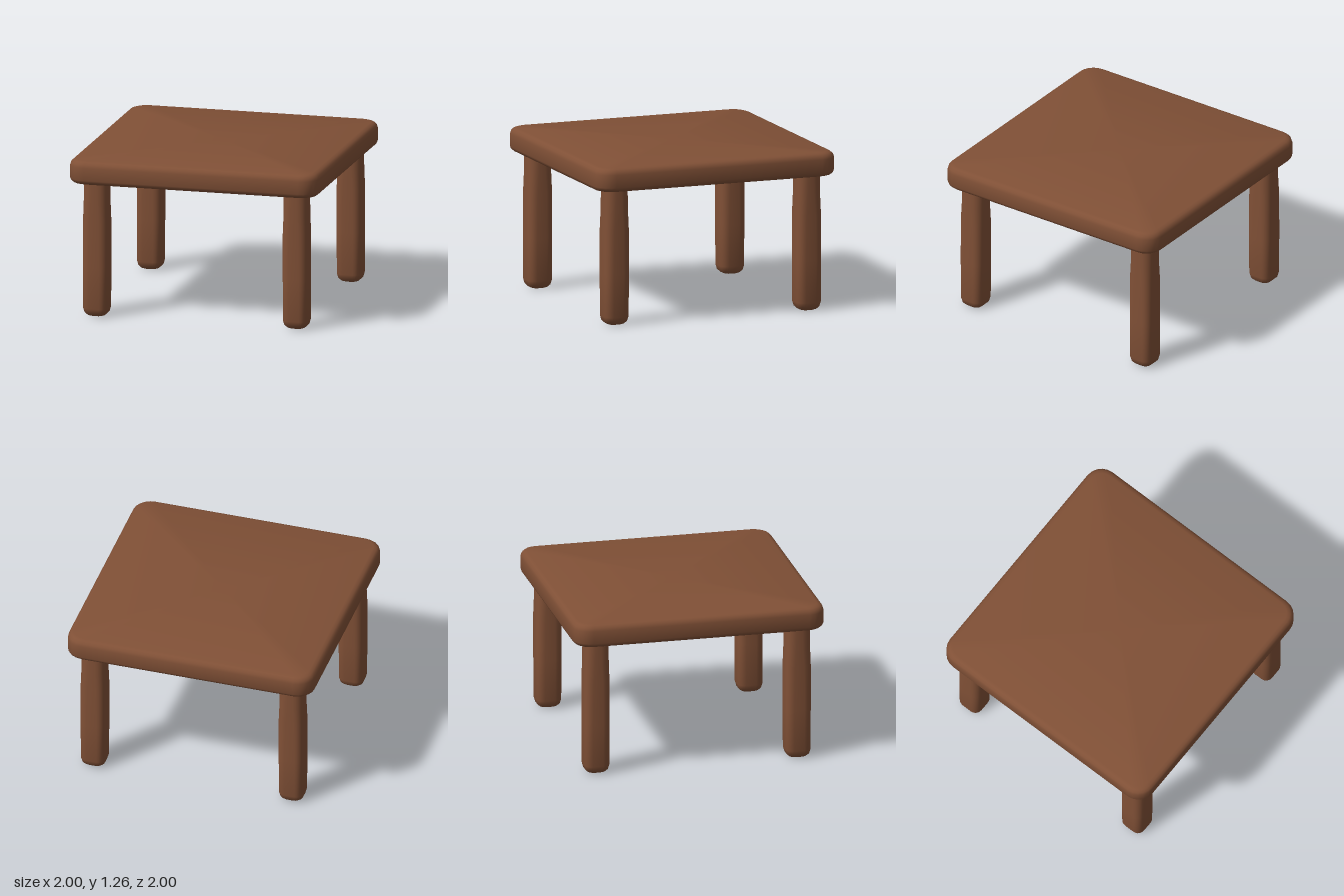
import * as THREE from 'three';
import { toCreasedNormals } from 'three/addons/utils/BufferGeometryUtils.js';

const CORNER_STEPS = 5;

// Corner points of a rounded square with half width h and corner radius r
function roundedSquare(h, r) {
  const points = [];
  for (let corner = 0; corner < 4; corner++) {
    const middle = Math.PI / 4 + corner * Math.PI / 2;
    const cx = Math.sign(Math.cos(middle)) * (h - r);
    const cz = Math.sign(Math.sin(middle)) * (h - r);
    for (let i = 0; i <= CORNER_STEPS; i++) {
      const a = corner * Math.PI / 2 + (i / CORNER_STEPS) * Math.PI / 2;
      points.push([cx + Math.cos(a) * r, cz + Math.sin(a) * r]);
    }
  }
  return points;
}

// Closed solid through rounded squares [y, half width, corner radius], bottom to top
function loft(rings, crease) {
  const n = 4 * (CORNER_STEPS + 1);
  const positions = [];
  const index = [];
  for (const [y, h, r] of rings) {
    for (const [x, z] of roundedSquare(h, r)) positions.push(x, y, z);
  }
  const bottom = rings.length * n;
  const top = bottom + 1;
  positions.push(0, rings[0][0], 0, 0, rings[rings.length - 1][0], 0);
  for (let k = 0; k < n; k++) {
    const next = (k + 1) % n;
    for (let j = 0; j < rings.length - 1; j++) {
      const a = j * n + k, b = j * n + next;
      index.push(a, a + n, b, b, a + n, b + n);
    }
    const last = (rings.length - 1) * n;
    index.push(bottom, k, next, top, last + next, last + k);
  }
  const geometry = new THREE.BufferGeometry();
  geometry.setAttribute('position', new THREE.Float32BufferAttribute(positions, 3));
  geometry.setIndex(index);
  return toCreasedNormals(geometry, crease);
}

export function createModel() {
  const wood = new THREE.MeshStandardMaterial({ color: 0x805036 });
  wood.name = 'brown wood';

  const table = new THREE.Group();
  table.name = 'table';

  // Thick slab with rounded corners and softened rims
  const tabletop = new THREE.Mesh(loft([
    [1.07, 0.95, 0.10],
    [1.077, 0.975, 0.12],
    [1.092, 0.993, 0.135],
    [1.11, 1.0, 0.14],
    [1.21, 1.0, 0.14],
    [1.235, 0.993, 0.135],
    [1.252, 0.975, 0.12],
    [1.26, 0.95, 0.10],
  ], 0.65), wood);
  tabletop.name = 'tabletop';
  table.add(tabletop);

  // Four chunky legs with rounded feet, slightly slimmer and rounder at the top
  const legGeometry = loft([
    [0, 0.05, 0.035],
    [0.008, 0.07, 0.045],
    [0.028, 0.09, 0.055],
    [0.065, 0.1, 0.06],
    [0.4, 0.101, 0.06],
    [0.75, 0.102, 0.065],
    [0.9, 0.098, 0.07],
    [1.1, 0.097, 0.075],
  ], 0.65);
  for (const [side, x] of [['Left', 0.803], ['Right', -0.803]]) {
    for (const [end, z] of [['front', 0.803], ['back', -0.803]]) {
      const leg = new THREE.Mesh(legGeometry, wood);
      leg.name = `${end}${side}Leg`;
      leg.position.set(x, 0, z);
      table.add(leg);
    }
  }

  return table;
}
